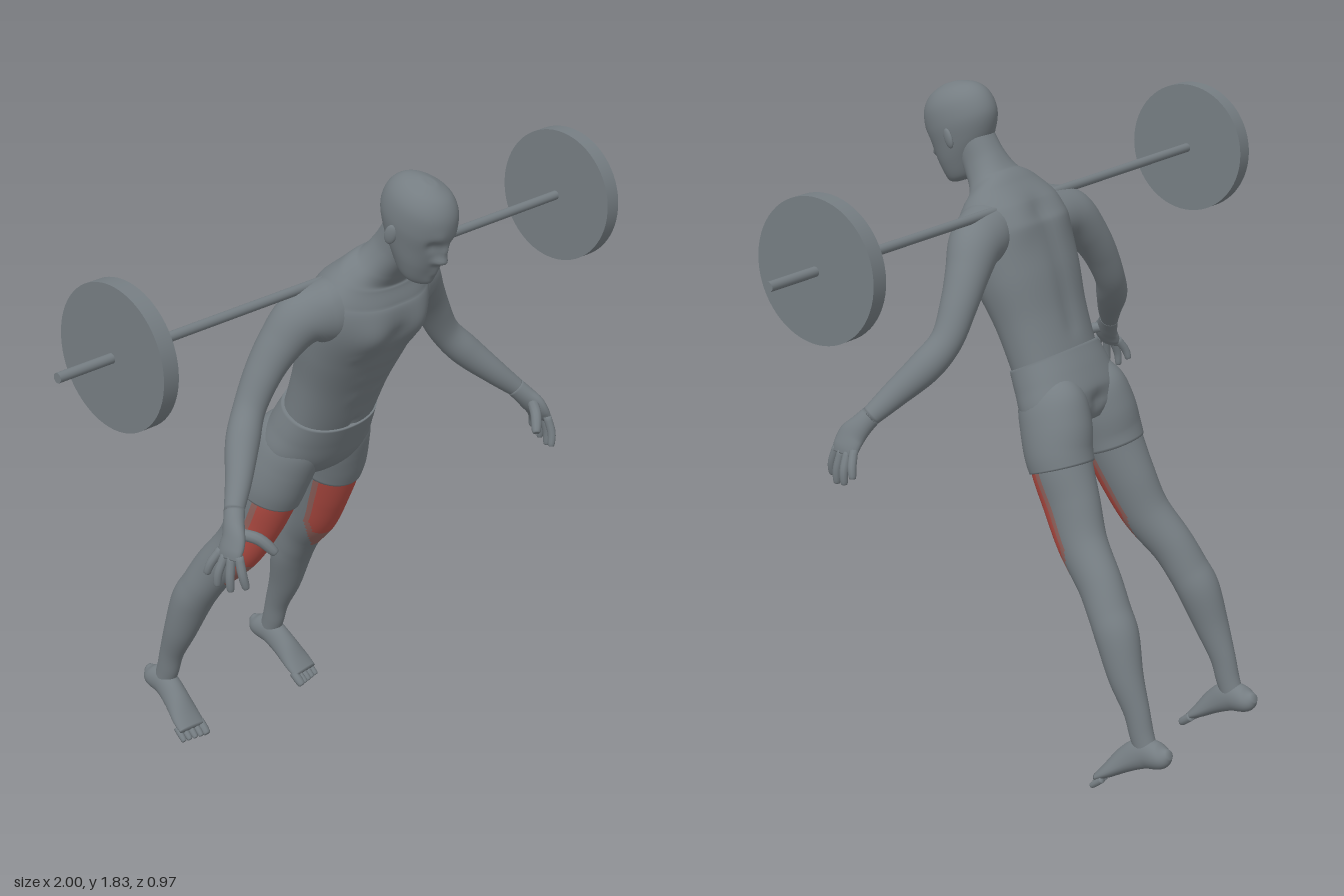
import * as THREE from 'three';

const mat = (name, color) => Object.assign(new THREE.MeshStandardMaterial({ color }), { name });

// Smooth skin through cross-sections [x, y, z, halfWidth, front, back].
// s mirrors x; bumps [x, y, z, radius, dx, dy, dz] push the skin locally, on both sides if x > 0.
// paint(y, angle) picks a material slot for each face.
function loft(sections, { s = 1, seg = 24, rings = 24, axis = null, round = 2, bumps = [], paint = null } = {}) {
  const centre = new THREE.CatmullRomCurve3(sections.map(p => new THREE.Vector3(p[0] * s, p[1], p[2])), false, 'catmullrom', 0.5);
  const size = new THREE.CatmullRomCurve3(sections.map(p => new THREE.Vector3(p[3], p[4], p[5])), false, 'catmullrom', 0.5);
  const pts = [];
  const pow = c => Math.sign(c) * Math.abs(c) ** (2 / round);
  for (let i = 0; i <= rings; i++) {
    const c = centre.getPoint(i / rings), r = size.getPoint(i / rings);
    const t = axis || centre.getTangent(i / rings);
    const u = new THREE.Vector3(1, 0, 0).addScaledVector(t, -t.x).normalize();
    const v = new THREE.Vector3().crossVectors(u, t).normalize();
    for (let j = 0; j < seg; j++) {
      const a = j / seg * Math.PI * 2, sn = pow(Math.sin(a));
      pts.push(c.clone().addScaledVector(u, r.x * pow(Math.cos(a))).addScaledVector(v, sn * (sn > 0 ? r.y : r.z)));
    }
  }
  const both = bumps.flatMap(b => b[0] > 0 ? [b, [-b[0], b[1], b[2], b[3], -b[4], b[5], b[6]]] : [b]);
  for (const p of pts) {
    const move = new THREE.Vector3();
    for (const [x, y, z, r, dx, dy, dz] of both) {
      const d2 = (p.x - x) ** 2 + (p.y - y) ** 2 + (p.z - z) ** 2;
      move.addScaledVector(new THREE.Vector3(dx, dy, dz), Math.exp(-d2 / (r * r)));
    }
    p.add(move);
  }
  const slots = [[], [], []];
  for (let i = 0; i < rings; i++) for (let j = 0; j < seg; j++) {
    const k = (j + 1) % seg, a = i * seg + j, b = a + seg, c = i * seg + k, d = c + seg;
    const slot = paint ? paint((pts[a].y + pts[d].y) / 2, (j + 0.5) / seg * Math.PI * 2) : 0;
    slots[slot].push(a, b, c, c, b, d);
  }
  // end caps
  const n = pts.length, last = rings * seg;
  const mean = from => pts.slice(from, from + seg).reduce((m, p) => m.add(p), new THREE.Vector3()).divideScalar(seg);
  pts.push(mean(0), mean(last));
  for (let j = 0; j < seg; j++) {
    const k = (j + 1) % seg;
    slots[0].push(n, j, k, n + 1, last + k, last + j);
  }
  const g = new THREE.BufferGeometry().setFromPoints(pts);
  g.setIndex(slots.flat());
  if (paint) {
    let start = 0;
    slots.forEach((f, i) => { g.addGroup(start, f.length, i); start += f.length; });
  }
  g.computeVertexNormals();
  return g;
}

export function createModel() {
  const body = mat('body grey', 0x757d82);
  const muscle = mat('muscle red', 0xb34c43);
  const faded = mat('faded muscle red', 0x94645e);
  const model = new THREE.Group();
  const add = (name, geo, parent = model, m = body) => {
    const mesh = new THREE.Mesh(geo, m);
    mesh.name = name;
    parent.add(mesh);
    return mesh;
  };
  const group = (name, parent = model) => {
    const g = new THREE.Group();
    g.name = name;
    parent.add(g);
    return g;
  };
  // tapered digit through a base, a joint and a tip
  const digit = (base, joint, tip, r, s) => {
    const end = tip.map((c, i) => c + (c - joint[i]) * 0.12);
    return loft([[...base, r, r, r], [...joint, r, r, r], [...tip, r * 0.8, r * 0.8, r * 0.8], [...end, r * 0.2, r * 0.2, r * 0.2]], { s, seg: 10, rings: 12 });
  };

  // Torso and neck, with chest, stomach and back muscles
  const torsoBumps = [
    [0.085, 1.385, 0.31, 0.06, 0, -0.006, 0.02], [0, 1.38, 0.32, 0.025, 0, 0, -0.008],
    [0.105, 1.325, 0.27, 0.012, 0, 0, 0.005], [0, 1.085, 0.15, 0.012, 0, 0.004, -0.01],
    [0.09, 1.50, 0.12, 0.06, 0, 0.006, -0.012]];
  for (const [y, z] of [[1.29, 0.265], [1.235, 0.235], [1.175, 0.205]]) torsoBumps.push([0.035, y, z, 0.026, 0, -0.001, 0.003]);
  for (let i = 0; i < 14; i++) torsoBumps.push([0, 1.2 + i * 0.025, 0.005 + i * 0.009, 0.028, 0, -0.001, 0.004]);
  add('torso', loft([
    [0, 1.06, 0.045, 0.148, 0.09, 0.09], [0, 1.11, 0.067, 0.146, 0.093, 0.094],
    [0, 1.22, 0.11, 0.153, 0.1, 0.1], [0, 1.33, 0.155, 0.173, 0.113, 0.115],
    [0, 1.435, 0.205, 0.185, 0.113, 0.125], [0, 1.5, 0.225, 0.172, 0.095, 0.105],
    [0, 1.545, 0.245, 0.135, 0.068, 0.08], [0, 1.575, 0.268, 0.085, 0.058, 0.065],
    [0, 1.62, 0.30, 0.06, 0.056, 0.06], [0, 1.68, 0.335, 0.055, 0.054, 0.055]],
  { seg: 64, rings: 90, round: 2.2, bumps: torsoBumps }));

  // Head, tipped forward with the body
  const head = group('head');
  head.position.set(0, 1.693, 0.368);
  head.rotation.x = 0.35;
  add('skull', loft([
    [0, -0.127, 0.05, 0.018, 0.02, 0.025], [0, -0.115, 0.045, 0.042, 0.043, 0.05],
    [0, -0.07, 0.03, 0.062, 0.068, 0.075], [0, -0.02, 0.01, 0.075, 0.093, 0.1],
    [0, 0.03, 0, 0.083, 0.108, 0.115], [0, 0.08, 0, 0.078, 0.098, 0.11],
    [0, 0.115, 0, 0.056, 0.07, 0.082], [0, 0.133, 0, 0.022, 0.028, 0.035], [0, 0.136, 0, 0.004, 0.005, 0.005]],
  { seg: 64, rings: 64, axis: new THREE.Vector3(0, 1, 0), bumps: [
    [0, -0.03, 0.105, 0.016, 0, -0.003, 0.022], [0, -0.004, 0.108, 0.013, 0, 0, 0.01],
    [0.016, -0.036, 0.1, 0.01, 0.002, 0, 0.006], [0.033, 0.008, 0.095, 0.017, 0, 0, -0.011],
    [0.032, 0.008, 0.085, 0.008, 0, 0, 0.006], [0.03, 0.034, 0.105, 0.018, 0, 0, 0.003],
    [0, -0.063, 0.1, 0.014, 0, 0, 0.006], [0, -0.08, 0.095, 0.012, 0, 0, 0.006], [0, -0.108, 0.085, 0.02, 0, 0, 0.008]] }), head);

  // Shorts: waist and hips
  const shorts = group('shorts');
  add('hips', loft([
    [0, 0.935, -0.03, 0.07, 0.055, 0.05], [0, 0.96, -0.015, 0.145, 0.088, 0.085],
    [0, 1.0, 0.01, 0.176, 0.103, 0.105], [0, 1.06, 0.04, 0.165, 0.102, 0.106], [0, 1.115, 0.067, 0.153, 0.099, 0.1]],
  { seg: 56, rings: 36, round: 2.2, bumps: [[0, 1.01, -0.095, 0.03, 0, 0, 0.014]] }), shorts);

  const legSections = [
    [0.214, 0.13, -0.40, 0.028, 0.03, 0.036], [0.213, 0.185, -0.383, 0.03, 0.036, 0.034],
    [0.212, 0.25, -0.363, 0.034, 0.037, 0.038], [0.209, 0.34, -0.325, 0.047, 0.048, 0.05],
    [0.197, 0.44, -0.287, 0.06, 0.056, 0.062], [0.187, 0.50, -0.255, 0.06, 0.058, 0.06],
    [0.172, 0.57, -0.213, 0.058, 0.066, 0.062], [0.148, 0.66, -0.138, 0.063, 0.074, 0.072],
    [0.13, 0.76, -0.09, 0.071, 0.086, 0.08], [0.118, 0.86, -0.045, 0.083, 0.087, 0.085], [0.10, 0.95, -0.015, 0.08, 0.085, 0.085]];
  // highlighted front thigh, narrowing and fading towards the knee
  const paintThigh = (y, a) => {
    const w = 1.4 * Math.min(1, Math.max(0, (y - 0.5) / 0.16));
    const off = Math.abs(a - Math.PI / 2);
    return off > w || y < 0.535 ? 0 : (y < 0.61 || off > w - 0.2) ? 2 : 1;
  };

  for (const [side, s] of [['left', 1], ['right', -1]]) {
    // Ear
    const ear = add(side + 'Ear', new THREE.SphereGeometry(1, 16, 12), head);
    ear.scale.set(0.008, 0.028, 0.017);
    ear.position.set(s * 0.081, -0.008, -0.008);
    ear.rotation.y = -s * 0.3;

    // Shorts leg with buttock, and bare leg
    add(side + 'ShortsLeg', loft([
      [0.118, 0.848, -0.048, 0.089, 0.092, 0.091], [0.114, 0.89, -0.033, 0.092, 0.096, 0.096],
      [0.102, 0.95, -0.015, 0.092, 0.1, 0.104], [0.09, 1.01, 0.012, 0.084, 0.094, 0.106], [0.08, 1.06, 0.038, 0.06, 0.075, 0.08]],
    { s, seg: 40, rings: 30 }), shorts);
    const leg = group(side + 'Leg');
    add('legSkin', loft(legSections, { s, seg: 60, rings: 110, paint: paintThigh }), leg, [body, muscle, faded]);

    // Foot, pointed down, with toes
    add('foot', loft([
      [0.212, 0.149, -0.474, 0.012, 0.012, 0.014], [0.213, 0.137, -0.447, 0.033, 0.034, 0.035],
      [0.215, 0.13, -0.395, 0.034, 0.04, 0.046], [0.22, 0.098, -0.345, 0.038, 0.03, 0.042],
      [0.226, 0.06, -0.295, 0.046, 0.02, 0.025], [0.229, 0.038, -0.263, 0.045, 0.012, 0.013]],
    { s, seg: 28, rings: 36 }), leg);
    for (let i = 0; i < 5; i++) {
      const x = 0.192 + i * 0.0185, back = i * 0.004;
      add('toe' + (i + 1), digit([x, 0.042, -0.275 - back], [x + 0.001, 0.026, -0.255 - back], [x + 0.002, 0.014, -0.241 - back], i ? 0.0095 : 0.013, s), leg);
    }

    // Arm, from wrist up through the shoulder into the chest
    const arm = group(side + 'Arm');
    add('armSkin', loft([
      [0.54, 1.045, 0.265, 0.025, 0.027, 0.027], [0.485, 1.10, 0.225, 0.034, 0.036, 0.036],
      [0.42, 1.17, 0.172, 0.044, 0.045, 0.045], [0.367, 1.235, 0.142, 0.042, 0.044, 0.044],
      [0.315, 1.32, 0.14, 0.048, 0.052, 0.05], [0.265, 1.39, 0.15, 0.058, 0.062, 0.058],
      [0.21, 1.447, 0.168, 0.072, 0.076, 0.068], [0.14, 1.465, 0.192, 0.08, 0.092, 0.075], [0.07, 1.475, 0.212, 0.075, 0.09, 0.075]],
    { s, seg: 36, rings: 70 }), arm);

    // Hand with spread fingers
    add('palm', loft([
      [0.599, 0.95, 0.305, 0.012, 0.037, 0.037], [0.590, 0.968, 0.303, 0.018, 0.043, 0.039],
      [0.574, 0.995, 0.297, 0.022, 0.042, 0.037], [0.556, 1.022, 0.281, 0.025, 0.033, 0.031], [0.535, 1.05, 0.262, 0.026, 0.028, 0.028]],
    { s, seg: 24, rings: 24 }), arm);
    const fingers = [
      ['indexFinger', [0.591, 0.965, 0.336], [0.594, 0.92, 0.352], [0.588, 0.885, 0.358]],
      ['middleFinger', [0.597, 0.96, 0.315], [0.609, 0.91, 0.322], [0.609, 0.873, 0.324]],
      ['ringFinger', [0.597, 0.96, 0.294], [0.618, 0.915, 0.290], [0.621, 0.88, 0.288]],
      ['littleFinger', [0.595, 0.965, 0.275], [0.618, 0.93, 0.262], [0.625, 0.903, 0.255]],
      ['thumb', [0.562, 1.008, 0.305], [0.53, 0.995, 0.345], [0.503, 0.96, 0.372]]];
    for (const [name, a, b, c] of fingers) add(name, digit(a, b, c, name === 'thumb' ? 0.0155 : 0.0118, s), arm);
  }

  // Barbell across the upper back
  const barbell = group('barbell');
  barbell.position.set(0, 1.525, 0.167);
  const rod = (name, r, length, x, seg) => {
    const mesh = add(name, new THREE.CylinderGeometry(r, r, length, seg), barbell);
    mesh.rotation.z = Math.PI / 2;
    mesh.position.x = x;
  };
  rod('bar', 0.013, 2, 0, 20);
  rod('leftPlate', 0.187, 0.046, 0.812, 64);
  rod('rightPlate', 0.187, 0.046, -0.812, 64);
  return model;
}
